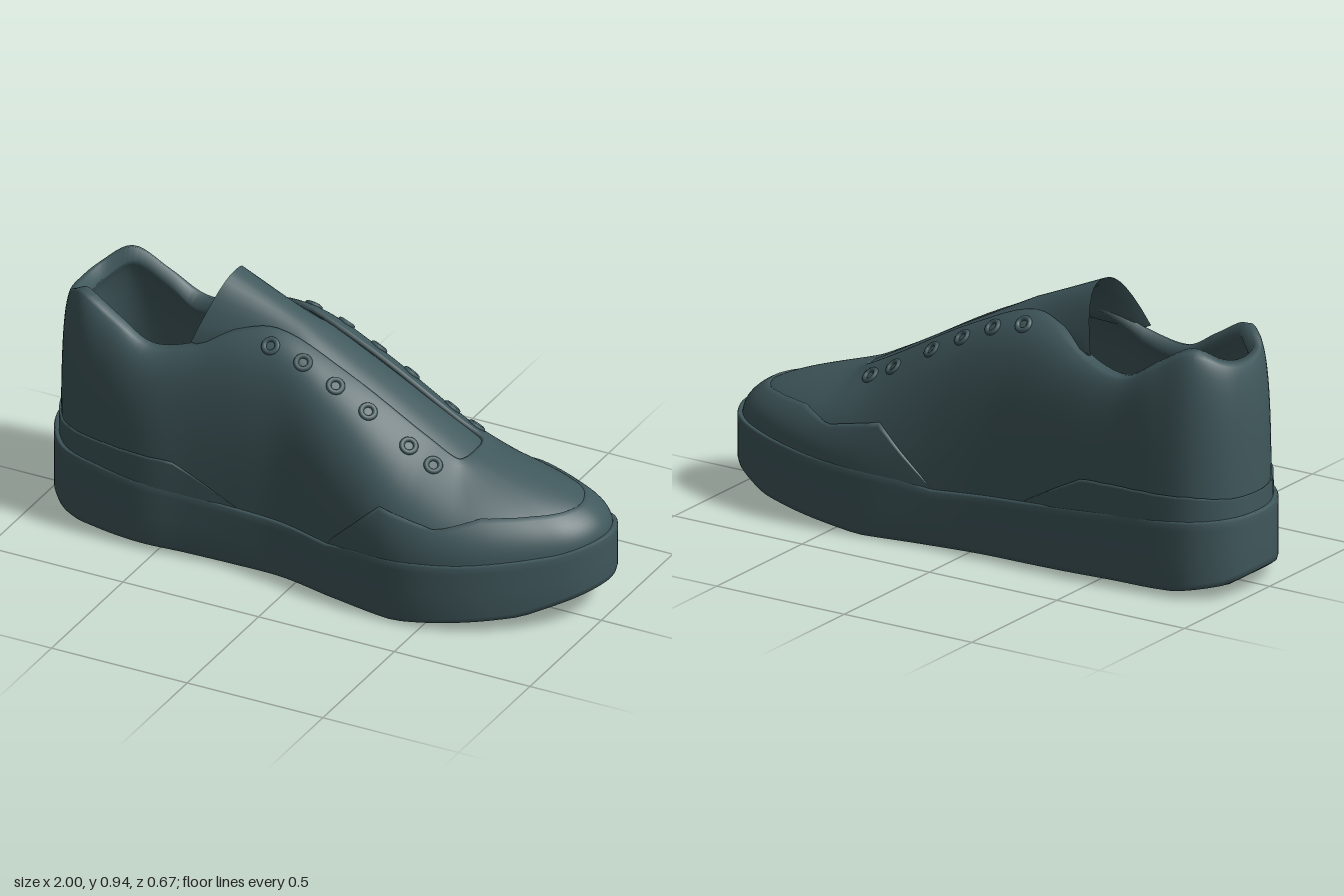
import * as THREE from 'three';

const V = (x, y, z) => new THREE.Vector3(x, y, z);
const MID = -0.02; // z of the shoe's long axis

// Piecewise-linear lookup through [x, value] pairs
function along(x, pts) {
  if (x <= pts[0][0]) return pts[0][1];
  for (let i = 1; i < pts.length; i++) {
    if (x <= pts[i][0]) {
      return THREE.MathUtils.mapLinear(x, pts[i - 1][0], pts[i][0], pts[i - 1][1], pts[i][1]);
    }
  }
  return pts[pts.length - 1][1];
}

// Surface from rings: closed in i, open in j
function loft(nu, nv, point) {
  const pos = [], idx = [];
  for (let j = 0; j <= nv; j++) {
    for (let i = 0; i < nu; i++) pos.push(...point(i, j).toArray());
  }
  for (let j = 0; j < nv; j++) {
    for (let i = 0; i < nu; i++) {
      const k = (i + 1) % nu, a = j * nu + i, b = j * nu + k;
      idx.push(a, b, b + nu, a, b + nu, a + nu);
    }
  }
  const g = new THREE.BufferGeometry();
  g.setAttribute('position', new THREE.Float32BufferAttribute(pos, 3));
  g.setIndex(idx);
  g.computeVertexNormals();
  return g;
}

// Columns from heel to toe: opening x, y, half width | outline x, left z, right z
const COLUMNS = [
  [-0.93, 0.77, 0, -1, -0.03, -0.03],
  [-0.91, 0.785, 0.1, -0.975, 0.08, -0.16],
  [-0.83, 0.83, 0.175, -0.88, 0.21, -0.25],
  [-0.7, 0.765, 0.195, -0.74, 0.255, -0.28],
  [-0.57, 0.7, 0.2, -0.57, 0.275, -0.28],
  [-0.43, 0.725, 0.185, -0.4, 0.26, -0.285],
  [-0.28, 0.8, 0.14, -0.22, 0.25, -0.285],
  [-0.15, 0.825, 0.1, -0.05, 0.25, -0.285],
  [0.1, 0.725, 0.095, 0.17, 0.295, -0.305],
  [0.4, 0.56, 0.095, 0.43, 0.33, -0.335],
  [0.51, 0.505, 0.09, 0.65, 0.28, -0.325],
  [0.525, 0.5, 0.06, 0.85, 0.16, -0.265],
  [0.53, 0.5, 0.03, 0.96, 0.05, -0.19],
  [0.53, 0.5, 0, 1, -0.07, -0.07],
];
const SOLE_TOP = [[-1, 0.275], [-0.6, 0.25], [-0.2, 0.22], [0.13, 0.2], [0.25, 0.22], [0.6, 0.24], [0.9, 0.268], [1, 0.29]];
const SOLE_BOTTOM = [[-1, 0.075], [-0.95, 0.045], [-0.8, 0.018], [-0.3, 0.008], [0.4, 0], [0.8, 0.05], [1, 0.12]];

// Closed loops: down the left side, back along the right
const back = COLUMNS.slice(1, -1).reverse();
const closed = (pts) => new THREE.CatmullRomCurve3(pts, true, 'centripetal');
const opening = closed([
  ...COLUMNS.map((c) => V(c[0], c[1], MID + c[2])),
  ...back.map((c) => V(c[0], c[1], MID - c[2])),
]);
const outline = closed([
  ...COLUMNS.map((c) => V(c[3], 0, c[4])),
  ...back.map((c) => V(c[3], 0, c[5])),
]);

const NU = 26 * 6;
const columns = Array.from({ length: NU }, (_, i) => {
  const e = opening.getPoint(i / NU), o = outline.getPoint(i / NU);
  const b = V(o.x * 0.975, along(o.x, SOLE_TOP) - 0.012, MID + (o.z - MID) * 0.965);
  const h = e.y - b.y, toe = THREE.MathUtils.smoothstep(o.x, -0.05, 0.7);
  const c1 = V(b.x, b.y + h * 0.5, b.z).lerp(V(e.x, b.y + h * 0.5, e.z), 0.02);
  const c2 = e.clone().lerp(b, 0.86 - 0.38 * toe).setY(e.y - h * (0.1 + 0.2 * toe));
  return {
    o, e,
    wall: new THREE.CubicBezierCurve3(b, c1, c2, e),
    inward: V(e.x - b.x, 0, e.z - b.z).normalize(),
    thick: along(e.x, [[-0.4, 0.05], [-0.12, 0.015]]),
  };
});

// Outer wall, rounded rim, then the lining down to the insole
function upperGeometry() {
  const N = 22, L = 10;
  return loft(NU, N + 2 + L, (i, j) => {
    const { e, wall, inward, thick } = columns[i];
    if (j <= N) return wall.getPoint(j / N);
    if (j === N + 1) return e.clone().addScaledVector(inward, thick * 0.5).add(V(0, thick * 0.15, 0));
    const p = wall.getPoint(1 - ((j - N - 2) / L) * 0.97);
    return p.addScaledVector(inward, thick).add(V(0, -thick * 0.6, 0));
  });
}

// Thin panel lying on the wall, up to a trim line
function overlayGeometry(trim) {
  const N = 10;
  const tops = columns.map(({ wall }) => {
    let t = 0;
    while (t < 0.95) {
      const p = wall.getPoint(t);
      if (p.y >= along(p.x, trim)) break;
      t += 0.004;
    }
    return t;
  });
  return loft(NU, N, (i, j) => {
    const { wall, inward } = columns[i];
    const lift = j === N ? -0.003 : 0.007 * Math.min(1, tops[i] * 12);
    const p = wall.getPoint(tops[i] * Math.min(1, j / (N - 1)));
    return p.addScaledVector(inward, -lift).add(V(0, lift * 0.6, 0));
  });
}

// Sole rings: [scale across, level from bottom 0 to top 1, y offset]
function soleGeometry() {
  const rings = [[0, 0, 0], [0.5, 0, 0], [0.9, 0, 0], [0.97, 0, 0.003], [1, 0, 0.022], [1, 0.5, 0],
    [1, 1, -0.03], [0.995, 1, -0.008], [0.98, 1, 0], [0.9, 1, 0], [0, 1, 0]];
  return loft(NU, rings.length - 1, (i, j) => {
    const [s, level, dy] = rings[j], { o } = columns[i];
    const x = o.x * (0.85 + 0.15 * s), zc = along(x, [[-1, -0.03], [0.6, -0.02], [1, -0.07]]);
    const y = THREE.MathUtils.lerp(along(x, SOLE_BOTTOM), along(x, SOLE_TOP), level);
    return V(x, y + dy, zc + (o.z - zc) * s);
  });
}

// Arched tongue, tapering into the throat
function tongueGeometry() {
  const M = 16, N = 30;
  const spine = [[-0.36, 0.945], [-0.09, 0.828], [0.2, 0.676], [0.54, 0.49]];
  const width = [[-0.36, 0.178], [-0.2, 0.125], [-0.08, 0.1], [0.54, 0.092]];
  const drop = [[-0.36, 0.2], [-0.2, 0.1], [-0.05, 0.03], [0.54, 0.012]];
  return loft(2 * M, N, (i, j) => {
    const x = -0.36 + 0.9 * (j / N), top = i < M;
    const q = ((top ? i : 2 * M - 1 - i) / (M - 1)) * 2 - 1;
    const sag = along(x, drop) * Math.abs(q) ** 2.4;
    const thick = top || j === 0 ? 0 : 0.022;
    return V(x - sag * 0.35, along(x, spine) - sag - thick, MID + q * (along(x, width) - thick * 0.5));
  });
}

export function createModel() {
  const group = new THREE.Group();
  const material = new THREE.MeshStandardMaterial({ color: 0x40585c });
  const add = (name, geometry) => {
    const mesh = new THREE.Mesh(geometry, material);
    mesh.name = name;
    group.add(mesh);
    return mesh;
  };

  add('sole', soleGeometry());
  const upper = add('upper', upperGeometry());
  add('tongue', tongueGeometry());
  add('heelOverlay', overlayGeometry([[-1, 0.33], [-0.85, 0.345], [-0.45, 0.34], [-0.18, 0.2], [0, 0], [1, 0]]));
  add('toeOverlay', overlayGeometry([[-1, 0], [0.08, 0], [0.13, 0.2], [0.33, 0.39], [0.53, 0.345], [0.65, 0.38], [1, 0.375]]));

  // Eyelets dropped onto the upper on both sides of the throat
  const ring = new THREE.TorusGeometry(0.023, 0.009, 8, 20);
  const ray = new THREE.Raycaster();
  for (const x of [-0.15, -0.03, 0.09, 0.21, 0.36, 0.45]) {
    for (const side of [1, -1]) {
      ray.set(V(x, 2, MID + side * 0.152), V(0, -1, 0));
      const hit = ray.intersectObject(upper)[0];
      if (!hit) continue;
      const eyelet = add(side > 0 ? 'leftEyelet' : 'rightEyelet', ring);
      eyelet.position.copy(hit.point);
      eyelet.quaternion.setFromUnitVectors(V(0, 0, 1), (hit.normal || hit.face.normal).clone().normalize());
    }
  }
  return group;
}
